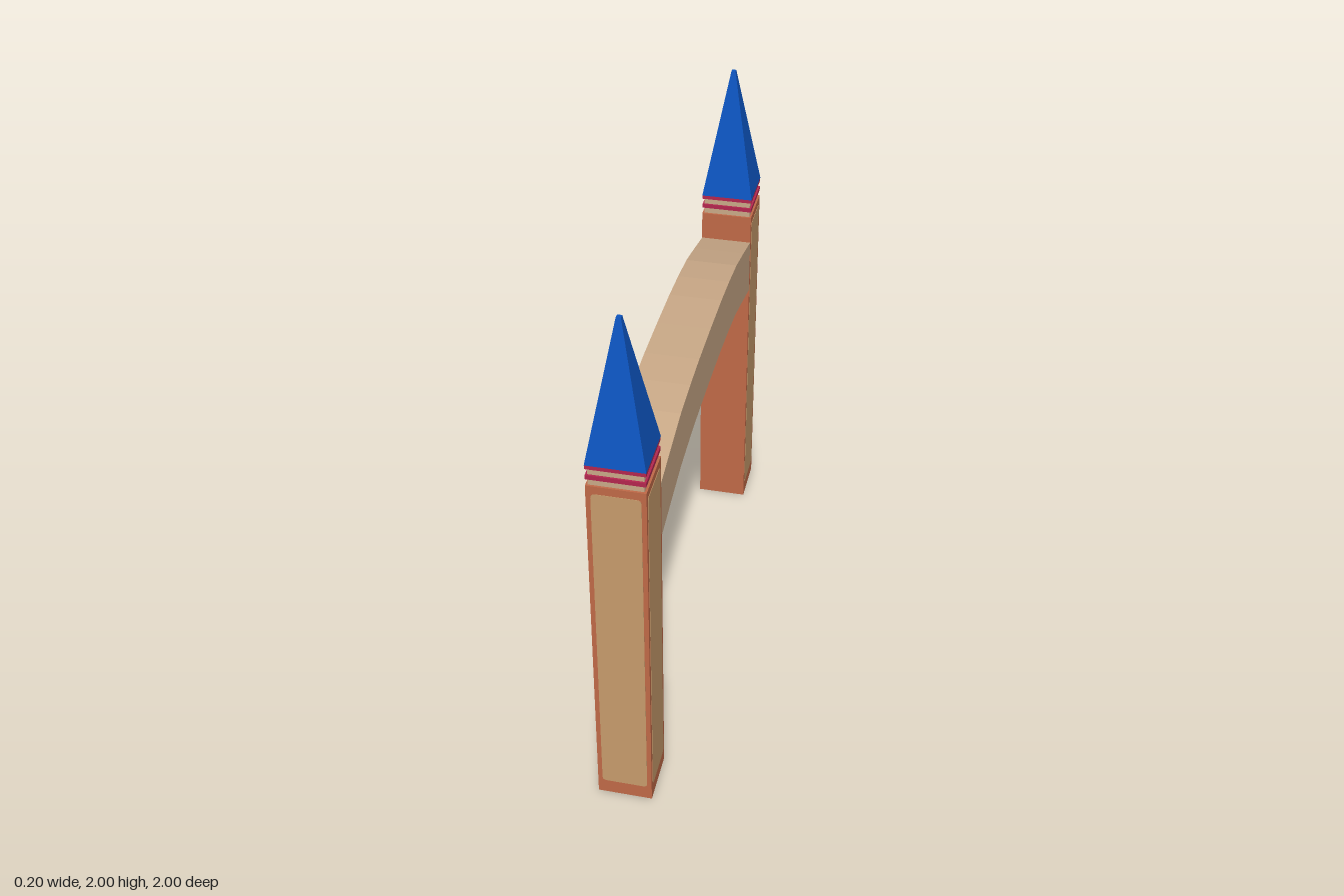
import * as THREE from 'three';

const mat = (name, color, flatShading = false) => {
  const m = new THREE.MeshStandardMaterial({ color, flatShading });
  m.name = name;
  return m;
};

export function createModel() {
  const terracotta = mat('terracotta', 0xc16a48);
  const tan = mat('tan panel', 0xc89c6c);
  const sand = mat('sand stone', 0xcbaa88);
  const blue = mat('blue roof', 0x0d55c0, true);
  const crimson = mat('crimson trim', 0xb5264f);

  const model = new THREE.Group();
  model.name = 'archway';
  const add = (parent, name, geometry, material, y = 0) => {
    const mesh = new THREE.Mesh(geometry, material);
    mesh.name = name;
    mesh.position.y = y;
    parent.add(mesh);
    return mesh;
  };
  const block = (w, h) => new THREE.BoxGeometry(w, h, w);

  // Rounded panel outline, extruded as a thin plate
  const w = 0.083, y0 = 0.06, y1 = 1.39, r = 0.016;
  const outline = new THREE.Shape();
  outline.moveTo(-w + r, y0);
  outline.lineTo(w - r, y0);
  outline.quadraticCurveTo(w, y0, w, y0 + r);
  outline.lineTo(w, y1 - r);
  outline.quadraticCurveTo(w, y1, w - r, y1);
  outline.lineTo(-w + r, y1);
  outline.quadraticCurveTo(-w, y1, -w, y1 - r);
  outline.lineTo(-w, y0 + r);
  outline.quadraticCurveTo(-w, y0, -w + r, y0);
  const panelGeometry = new THREE.ExtrudeGeometry(outline, { depth: 0.004, bevelEnabled: false, curveSegments: 4 });
  panelGeometry.translate(0, 0, 0.097);

  // Blunt four-sided spire
  const spireGeometry = new THREE.CylinderGeometry(0.008 * Math.SQRT2, 0.1 * Math.SQRT2, 0.5, 4);
  spireGeometry.rotateY(Math.PI / 4);

  // Two matching towers, panelled on their three outer faces
  for (const side of [1, -1]) {
    const tower = new THREE.Group();
    tower.name = side > 0 ? 'frontTower' : 'backTower';
    tower.position.z = 0.9 * side;
    tower.rotation.y = side > 0 ? 0 : Math.PI;
    add(tower, 'post', block(0.199, 1.42), terracotta, 0.71);
    for (const turn of [-1, 0, 1]) {
      add(tower, 'panel', panelGeometry, tan).rotation.y = turn * Math.PI / 2;
    }
    add(tower, 'neck', block(0.184, 0.08), sand, 1.46);
    for (const y of [1.453, 1.493]) add(tower, 'trimBand', block(0.198, 0.016), crimson, y);
    add(tower, 'spire', spireGeometry, blue, 1.75);
    model.add(tower);
  }

  // Gently curved bridge between the towers
  const half = [[0.8, 1.308], [0.65, 1.343], [0.5, 1.375], [0.35, 1.39], [0.2, 1.398], [0, 1.4]];
  const top = [...half, ...half.slice(0, -1).reverse().map(([z, y]) => [-z, y])];
  const bottom = top.map(([z, y]) => [z, y - 0.225]).reverse();
  const section = new THREE.Shape([...top, ...bottom].map(([z, y]) => new THREE.Vector2(z, y)));
  const archGeometry = new THREE.ExtrudeGeometry(section, { depth: 0.198, bevelEnabled: false });
  archGeometry.translate(0, 0, -0.099);
  archGeometry.rotateY(Math.PI / 2);
  add(model, 'arch', archGeometry, sand);

  return model;
}
